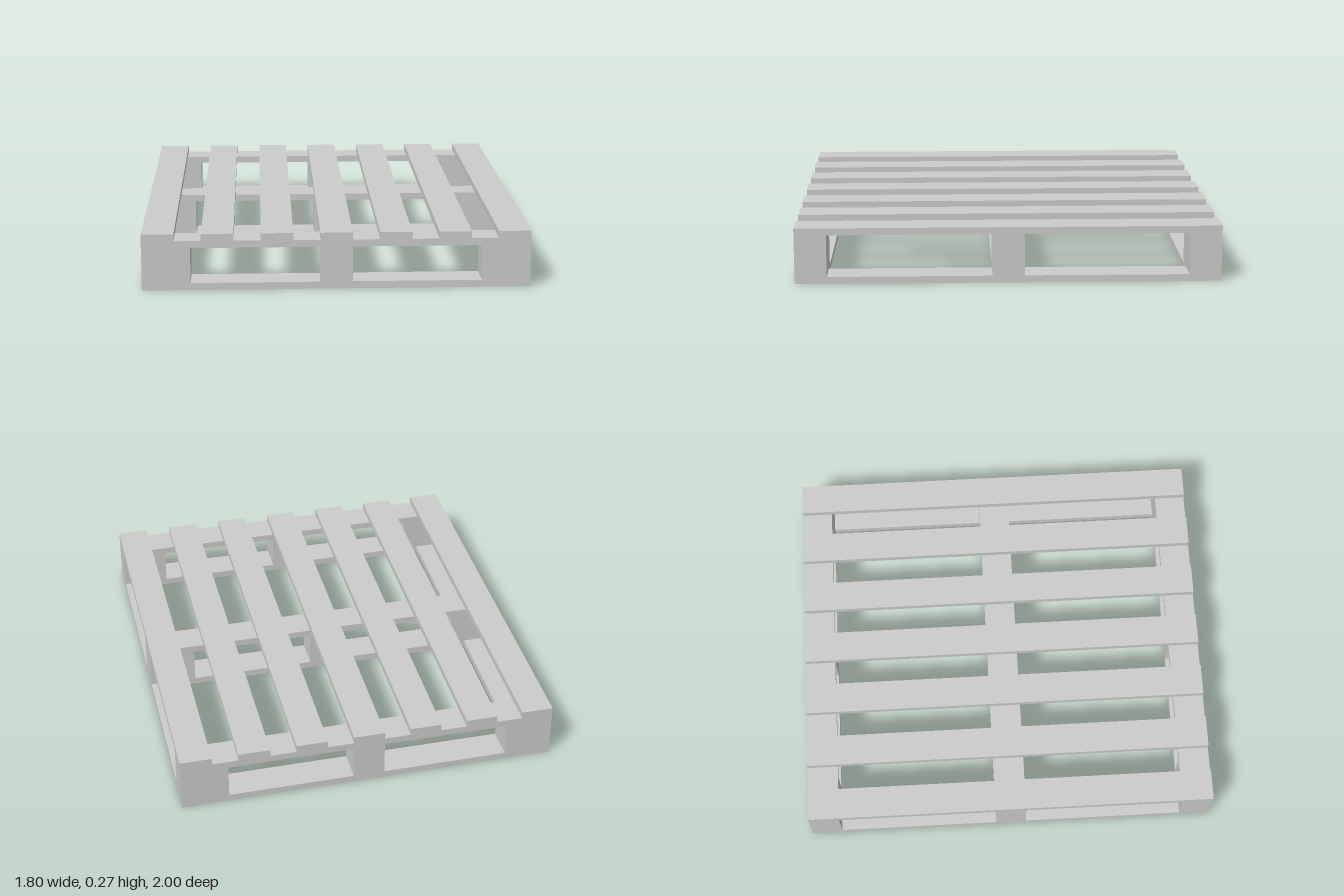
import * as THREE from 'three';

const W = 1.8, L = 2;       // overall width (x) and length (z)
const T = 1 / 30;           // board thickness
const B = 0.15;             // board width
const BLOCK_H = 1 / 6;      // block height
const END_BLOCK = 0.225;    // width of the outer blocks

export function createModel() {
  const pallet = new THREE.Group();
  pallet.name = 'pallet';
  const material = new THREE.MeshStandardMaterial({ color: 0xcccccc, flatShading: true });

  // Box standing with its underside at y
  function board(name, w, h, d, x, y, z) {
    const mesh = new THREE.Mesh(new THREE.BoxGeometry(w, h, d), material);
    mesh.name = name;
    mesh.position.set(x, y + h / 2, z);
    pallet.add(mesh);
  }

  const sideX = (W - B) / 2;
  const rowZ = (L - B) / 2;

  // Bottom frame: two side runners
  for (const s of [-1, 1]) board('bottomSideBoard', B, T, L, s * sideX, 0, 0);

  // Three rows of bottom cross board, blocks and stringer board
  for (const r of [-1, 0, 1]) {
    const z = r * rowZ;
    board('bottomCrossBoard', W - 2 * B, T, B, 0, 0, z);
    for (const c of [-1, 0, 1]) {
      const w = c === 0 ? B : END_BLOCK;
      board('block', w, BLOCK_H, B, c * (W - w) / 2, T, z);
    }
    board('stringerBoard', W, T, B, 0, T + BLOCK_H, z);
  }

  // Seven deck slats running front to back
  for (let i = -3; i <= 3; i++) {
    board('deckSlat', B, T, L, i * sideX / 3, 2 * T + BLOCK_H, 0);
  }
  return pallet;
}
